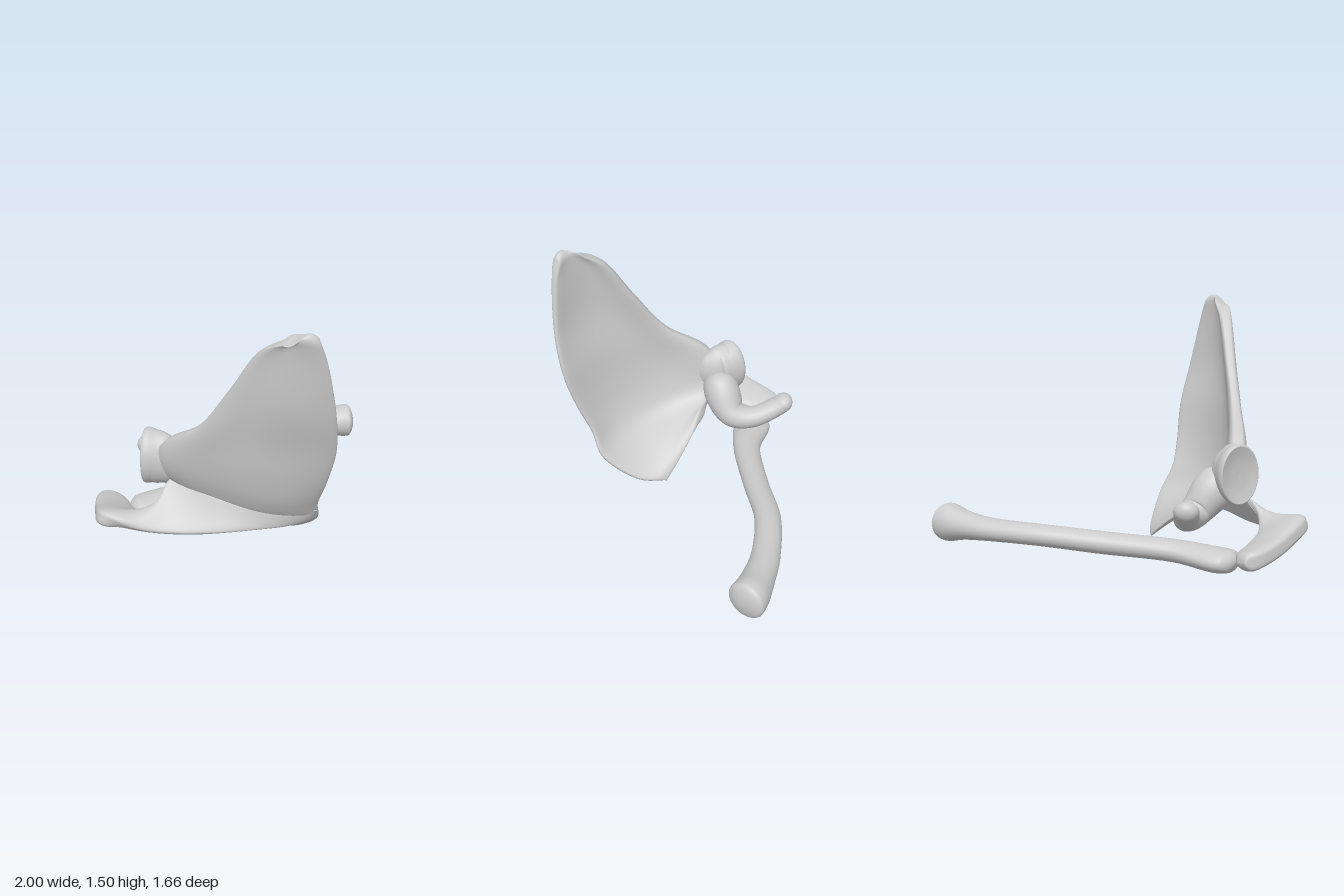
import * as THREE from 'three';

const material = new THREE.MeshStandardMaterial({ color: 0xcccccc, side: THREE.DoubleSide });
const V = (p) => new THREE.Vector3(p[0], p[1], p[2]);
const curve = (pts) => new THREE.CatmullRomCurve3(pts.map(V), false, 'catmullrom', 0.5);

// Rounds off both ends of a part over a fraction e of its length
function cap(v, e) {
  const d = Math.min(1, Math.min(v, 1 - v) / e);
  return Math.sqrt(Math.max(0, 1 - (1 - d) ** 2));
}

// Closed smooth skin: f(angle, v) gives a point on the ring at v
function skin(name, around, along, f) {
  const pos = [], idx = [];
  for (let j = 0; j <= along; j++) {
    const v = (1 - Math.cos((Math.PI * j) / along)) / 2;
    for (let i = 0; i < around; i++) {
      pos.push(...f((i / around) * Math.PI * 2, v).toArray());
    }
  }
  for (let j = 0; j < along; j++) {
    for (let i = 0; i < around; i++) {
      const a = j * around + i, b = j * around + ((i + 1) % around);
      idx.push(a, b, a + around, b, b + around, a + around);
    }
  }
  // Signed volume tells whether the faces must be turned outward
  let volume = 0;
  const at = (k) => new THREE.Vector3().fromArray(pos, k * 3);
  for (let k = 0; k < idx.length; k += 3) {
    volume += at(idx[k]).dot(at(idx[k + 1]).cross(at(idx[k + 2])));
  }
  if (volume < 0) idx.reverse();
  const geo = new THREE.BufferGeometry();
  geo.setAttribute('position', new THREE.Float32BufferAttribute(pos, 3));
  geo.setIndex(idx);
  geo.computeVertexNormals();
  const mesh = new THREE.Mesh(geo, material);
  mesh.name = name;
  return mesh;
}

// Elliptical shaft; sections are [x, y, z, side radius, up radius]
function shaft(name, sections, end) {
  const path = curve(sections);
  const radii = curve(sections.map((s) => [s[3], s[4], 0]));
  const up = new THREE.Vector3(0, 1, 0);
  return skin(name, 32, 70, (a, v) => {
    const t = path.getTangent(v);
    const side = new THREE.Vector3().crossVectors(t, up).normalize();
    const top = new THREE.Vector3().crossVectors(side, t).normalize();
    const r = radii.getPoint(v), k = cap(v, end);
    return path.getPoint(v)
      .addScaledVector(side, Math.cos(a) * r.x * k)
      .addScaledVector(top, Math.sin(a) * r.y * k);
  });
}

// Curved plate spanned by three long lines, with half thickness h(u, v)
function plate(name, rows, h, end) {
  const lines = [0, 1, 2].map((k) => curve(rows.map((r) => r[k])));
  const S = (u, v) => {
    const w = [2 * (u - 0.5) * (u - 1), 4 * u * (1 - u), 2 * u * (u - 0.5)];
    const p = new THREE.Vector3();
    lines.forEach((l, k) => p.addScaledVector(l.getPoint(v), w[k]));
    return p;
  };
  const d = 0.01;
  return skin(name, 64, 90, (a, v) => {
    const u = (1 - Math.cos(a)) / 2, s = Math.sin(a);
    // Normals are taken a little inside the rim, where they are steady
    const un = THREE.MathUtils.clamp(u, 0.12, 0.88), vn = THREE.MathUtils.clamp(v, 0.04, 0.96);
    const du = S(un + d, vn).sub(S(un - d, vn));
    const dv = S(un, vn + d).sub(S(un, vn - d));
    const n = du.cross(dv).normalize();
    const off = Math.sign(s) * Math.sqrt(Math.abs(s)) * h(u, v) * cap(v, end);
    return S(u, v).addScaledVector(n, off);
  });
}

export function createModel() {
  const model = new THREE.Group();
  model.name = 'shoulderBones';
  const shoulderBlade = new THREE.Group();
  shoulderBlade.name = 'shoulderBlade';
  model.add(shoulderBlade);

  // Main blade: outer border, middle, inner border; folds back at the bottom.
  // The outer border swells where it nears the joint.
  shoulderBlade.add(plate('blade', [
    [[-0.02, 1.48, 0.78], [0.03, 1.505, 0.795], [0.08, 1.48, 0.795]],
    [[-0.16, 1.38, 0.62], [-0.035, 1.36, 0.74], [0.135, 1.32, 0.8]],
    [[-0.28, 1.12, 0.48], [-0.08, 1.08, 0.69], [0.2, 1.03, 0.775]],
    [[-0.41, 0.86, 0.33], [-0.13, 0.82, 0.6], [0.235, 0.78, 0.72]],
    [[-0.55, 0.69, 0.12], [-0.2, 0.6, 0.51], [0.215, 0.55, 0.65]],
    [[-0.59, 0.52, 0.02], [-0.2, 0.42, 0.45], [0.2, 0.38, 0.57]],
    [[-0.51, 0.4, 0.03], [-0.18, 0.29, 0.37], [0.235, 0.22, 0.48]],
    [[-0.42, 0.33, 0.05], [-0.16, 0.22, 0.2], [0.17, 0.065, 0.285]],
    [[-0.33, 0.31, 0.05], [-0.14, 0.19, 0.07], [0.07, 0.025, 0.13]],
  ], (u, v) => 0.018 + (0.035 + 0.04 * Math.exp(-(((v - 0.58) / 0.13) ** 2))) * Math.exp(-u * u * 25)
    + 0.012 * u ** 4 + 0.02 * Math.exp(-v * 10), 0.05));

  // Ridge across the blade, sweeping out into the broad hooked tip
  const root = [[0.2, 0.32, 0.565], [-0.05, 0.34, 0.492], [-0.3, 0.37, 0.345], [-0.52, 0.43, 0.12],
    [-0.64, 0.3, 0.16], [-0.72, 0.18, 0.08], [-0.74, 0.13, -0.08], [-0.75, 0.11, -0.22], [-0.8, 0.11, -0.31]];
  const crest = [[0.22, 0.23, 0.5], [-0.05, 0.21, 0.48], [-0.3, 0.19, 0.43], [-0.55, 0.17, 0.33],
    [-0.78, 0.19, 0.24], [-0.975, 0.265, 0.165], [-0.97, 0.19, -0.05], [-0.93, 0.14, -0.25], [-0.86, 0.12, -0.33]];
  shoulderBlade.add(plate('ridgeAndTip', root.map((p, i) => {
    const middle = V(p).lerp(V(crest[i]), 0.5);
    if (i > 0 && i < 4) middle.add(V([0.005, -0.015, 0]));
    return [p, middle.toArray(), crest[i]];
  }), (u, v) => 0.014 + 0.018 * u + 0.03 * THREE.MathUtils.smoothstep(v, 0.4, 0.65), 0.08));

  // Flaring neck between the blade and the joint socket
  shoulderBlade.add(shaft('socketNeck', [
    [-0.47, 0.54, 0.14, 0.03, 0.07], [-0.53, 0.53, 0.07, 0.085, 0.145],
    [-0.58, 0.525, 0.02, 0.11, 0.165], [-0.61, 0.52, -0.01, 0.12, 0.165], [-0.63, 0.52, -0.025, 0.12, 0.16],
  ], 0.1));

  // Dished joint socket
  const profile = [[0, 0.06], [0.7, 0.07], [0.85, 0.12], [0.97, 0.17],
    [1, 0.2], [0.95, 0.218], [0.85, 0.215], [0.5, 0.203], [0, 0.198]];
  const socketGeo = new THREE.LatheGeometry(
    new THREE.SplineCurve(profile.map((p) => new THREE.Vector2(...p))).getPoints(40)
      .map((p) => new THREE.Vector2(Math.max(0, p.x), p.y)), 40);
  socketGeo.rotateX(Math.PI / 2);
  socketGeo.scale(0.13, 0.175, 1);
  const socket = new THREE.Mesh(socketGeo, material);
  socket.name = 'jointSocket';
  socket.position.set(-0.46, 0.52, 0.06);
  socket.lookAt(-1.36, 0.54, -0.37);
  shoulderBlade.add(socket);

  // Bent finger-like process beside the socket
  shoulderBlade.add(shaft('hookProcess', [
    [-0.54, 0.52, 0.03, 0.09, 0.1], [-0.47, 0.41, -0.035, 0.115, 0.12], [-0.42, 0.3, -0.13, 0.095, 0.088],
    [-0.45, 0.287, -0.26, 0.075, 0.067], [-0.53, 0.35, -0.39, 0.07, 0.06], [-0.575, 0.42, -0.47, 0.072, 0.055],
  ], 0.12));

  // S-curved collarbone: flat outer end, flared inner end
  model.add(shaft('collarbone', [
    [-0.73, 0.08, -0.19, 0.085, 0.055], [-0.62, 0.07, -0.2, 0.12, 0.067], [-0.35, 0.095, -0.26, 0.087, 0.063],
    [0, 0.125, -0.445, 0.078, 0.064], [0.3, 0.16, -0.62, 0.078, 0.062], [0.6, 0.165, -0.71, 0.083, 0.066],
    [0.8, 0.165, -0.73, 0.095, 0.085], [0.92, 0.165, -0.73, 0.108, 0.113], [1, 0.165, -0.715, 0.112, 0.11],
  ], 0.07));

  return model;
}
